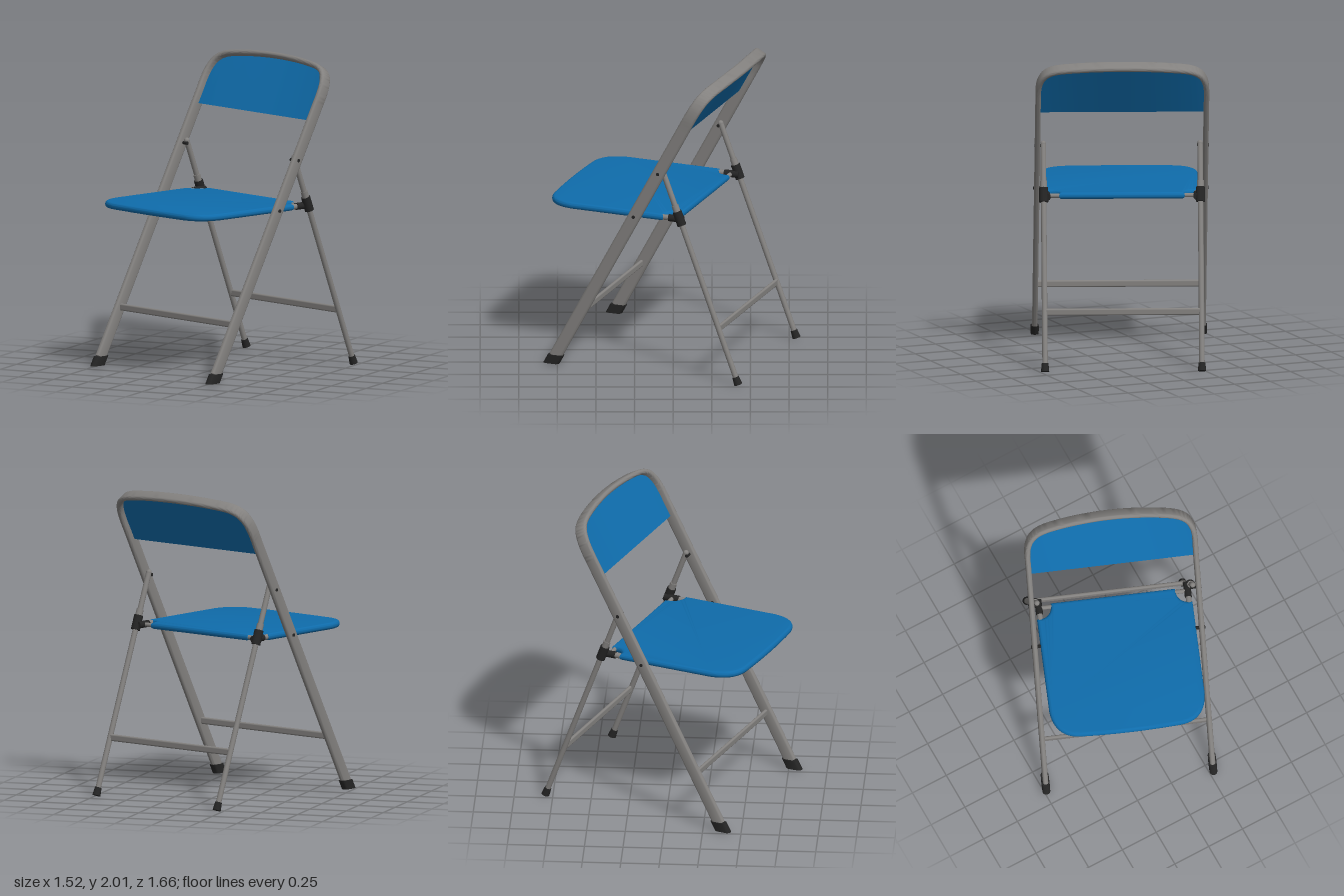
import * as THREE from 'three';
import { toCreasedNormals } from 'three/addons/utils/BufferGeometryUtils.js';
import { RoundedBoxGeometry } from 'three/addons/geometries/RoundedBoxGeometry.js';

const V = (x, y, z) => new THREE.Vector3(x, y, z);
const HALF = 0.545; // half width of the front frame
const frontZ = (y) => 0.625 - 0.539 * y; // lean of the front legs
const rearZ = (y) => -0.662 + 0.378 * y; // lean of the rear legs
const REAR_X = 0.508;
const SEAT_Y = 1.072;

// Sweep a flattened round section (half sizes a across, b along `wide`) through points.
function sweepFlat(points, wide, a, b) {
  const N = 16, pos = [], idx = [];
  points.forEach((p, i) => {
    const t = points[Math.min(i + 1, points.length - 1)].clone()
      .sub(points[Math.max(i - 1, 0)]).normalize();
    const n = t.cross(wide).normalize();
    for (let k = 0; k < N; k++) {
      const ang = ((k + 0.5) / N) * Math.PI * 2, s = Math.sin(ang);
      const q = p.clone().addScaledVector(n, a * Math.cos(ang))
        .addScaledVector(wide, (b - a) * Math.sign(s) + a * s);
      pos.push(q.x, q.y, q.z);
    }
  });
  const last = (points.length - 1) * N;
  for (let i = 0; i < points.length - 1; i++) {
    for (let k = 0; k < N; k++) {
      const k2 = (k + 1) % N, o = i * N;
      idx.push(o + k, o + N + k, o + k2, o + k2, o + N + k, o + N + k2);
    }
  }
  for (let k = 1; k < N - 1; k++) {
    idx.push(0, k, k + 1, last, last + k + 1, last + k);
  }
  const g = new THREE.BufferGeometry();
  g.setAttribute('position', new THREE.Float32BufferAttribute(pos, 3));
  g.setIndex(idx);
  return toCreasedNormals(g, 0.8);
}

// Round rod between two points.
function rod(a, b, r, r2 = r) {
  const d = b.clone().sub(a);
  const g = new THREE.CylinderGeometry(r2, r, d.length(), 16);
  g.applyQuaternion(new THREE.Quaternion().setFromUnitVectors(V(0, 1, 0), d.normalize()));
  const m = a.clone().add(b).multiplyScalar(0.5);
  return g.translate(m.x, m.y, m.z);
}

export function createModel() {
  const mat = (name, color) => {
    const m = new THREE.MeshStandardMaterial({ color });
    m.name = name;
    return m;
  };
  const steel = mat('grey steel', 0x83817f);
  const blue = mat('blue plastic', 0x0f6cab);
  blue.side = THREE.DoubleSide;
  const black = mat('black rubber', 0x242424);

  const root = new THREE.Group();
  root.name = 'foldingChair';
  const chair = new THREE.Group();
  chair.name = 'chair';
  chair.rotation.y = -0.38;
  chair.position.set(0.012, 0, 0.005);
  root.add(chair);
  const add = (name, geo, m) => {
    const mesh = new THREE.Mesh(geo, m);
    mesh.name = name;
    chair.add(mesh);
    return mesh;
  };

  // Front frame: two legs joined by a bowed top rail
  const framePoint = (x, y) =>
    V(x, y, frontZ(y) - 0.035 * Math.max(0, 1 - (x / HALF) ** 2));
  const half = [[HALF, 0.05], [HALF, 0.8], [HALF, 1.5], [HALF, 1.7], [HALF, 1.79],
    [0.534, 1.855], [0.505, 1.905], [0.45, 1.937], [0.28, 1.96]];
  const path = [
    ...half.map(([x, y]) => framePoint(-x, y)),
    framePoint(0, 1.97),
    ...half.slice().reverse().map(([x, y]) => framePoint(x, y)),
  ];
  const curvePts = new THREE.CatmullRomCurve3(path).getPoints(144);
  add('frontFrame', sweepFlat(curvePts, V(0, 0.474, 0.88), 0.0175, 0.042), steel);

  // Back panel: ruled from a straight lower edge up to the rail
  const rim = curvePts.filter((p) => p.y > 1.64);
  const pos = [], idx = [];
  rim.forEach((p, i) => {
    pos.push(p.x, 1.63, frontZ(1.63), p.x, p.y, p.z);
    if (i) idx.push(2 * i - 2, 2 * i, 2 * i - 1, 2 * i - 1, 2 * i, 2 * i + 1);
  });
  const panel = new THREE.BufferGeometry();
  panel.setAttribute('position', new THREE.Float32BufferAttribute(pos, 3));
  panel.setIndex(idx);
  panel.computeVertexNormals();
  add('backPanel', panel, blue);

  // Seat: rounded front corners, scooped rear corners, rolled edge
  const W = 0.487, F = 0.685, B = 0.215, R = 0.16, S = 0.1;
  const s = new THREE.Shape();
  s.moveTo(-W, B - S);
  s.lineTo(-W, -F + R + 0.02);
  s.quadraticCurveTo(-W + 0.015, -F + 0.02, -W + R, -F + 0.01);
  s.quadraticCurveTo(0, -F - 0.01, W - R, -F + 0.01);
  s.quadraticCurveTo(W - 0.015, -F + 0.02, W, -F + R + 0.02);
  s.lineTo(W, B - S);
  s.absarc(W, B, S, -Math.PI / 2, -Math.PI, true);
  s.lineTo(-W + S, B);
  s.absarc(-W, B, S, 0, -Math.PI / 2, true);
  const seat = new THREE.ExtrudeGeometry(s, {
    depth: 0.004, bevelEnabled: true, bevelThickness: 0.02, bevelSize: 0.02,
    bevelSegments: 5, curveSegments: 12,
  });
  seat.rotateX(-Math.PI / 2).translate(0, SEAT_Y - 0.002, 0);
  add('seat', toCreasedNormals(seat, 0.7), blue);

  // Cross bars
  const bar = (name, width, z) => add(name,
    new RoundedBoxGeometry(width, 0.045, 0.022, 3, 0.01).translate(0, 0.365, z), steel);
  bar('frontCrossBar', HALF * 2, frontZ(0.365));
  bar('rearCrossBar', REAR_X * 2, rearZ(0.365));

  for (const side of [-1, 1]) {
    const tag = side > 0 ? 'left' : 'right';
    const rear = (y) => V(side * REAR_X, y, rearZ(y));
    const fx = side * HALF;

    // Front shoe, cut level with the floor
    add(tag + 'FrontFoot', sweepFlat([0, 0.03, 0.06].map((y) => V(fx, y, frontZ(y))),
      V(0, 0, 1), 0.026, 0.055), black);

    // Rear leg, its shoe and the pivot to the front frame
    add(tag + 'RearLeg', rod(rear(0.02), rear(1.4), 0.018), steel);
    add(tag + 'RearFoot', rod(rear(0), rear(0.05), 0.027, 0.022), black);
    add(tag + 'RearLegCap', new THREE.SphereGeometry(0.019, 12, 8)
      .translate(side * REAR_X, 1.4, rearZ(1.4)), steel);
    add(tag + 'RearPivot', rod(V(side * 0.49, 1.385, frontZ(1.385)),
      V(side * 0.565, 1.385, frontZ(1.385)), 0.011), black);

    // Sliding clamp, collar and the arm that carries the seat
    add(tag + 'Clamp', rod(rear(1.04), rear(1.13), 0.03), black);
    add(tag + 'ClampCollar', rod(rear(1.13), rear(1.17), 0.023), steel);
    add(tag + 'ClampArm', rod(V(side * 0.485, SEAT_Y, -0.27),
      V(side * 0.485, SEAT_Y, -0.17), 0.023), black);
    add(tag + 'SeatTube', rod(V(side * 0.485, SEAT_Y, -0.18),
      V(side * 0.485, SEAT_Y, -0.09), 0.018), steel);
    add(tag + 'RearSeatTube', rod(V(side * 0.485, SEAT_Y, -0.215),
      V(side * 0.37, SEAT_Y, -0.215), 0.014), steel);

    // Seat pivot bolt through the front leg
    add(tag + 'SeatPivot', rod(V(side * 0.49, SEAT_Y, frontZ(SEAT_Y)),
      V(side * 0.568, SEAT_Y, frontZ(SEAT_Y)), 0.011), black);
  }
  return root;
}
